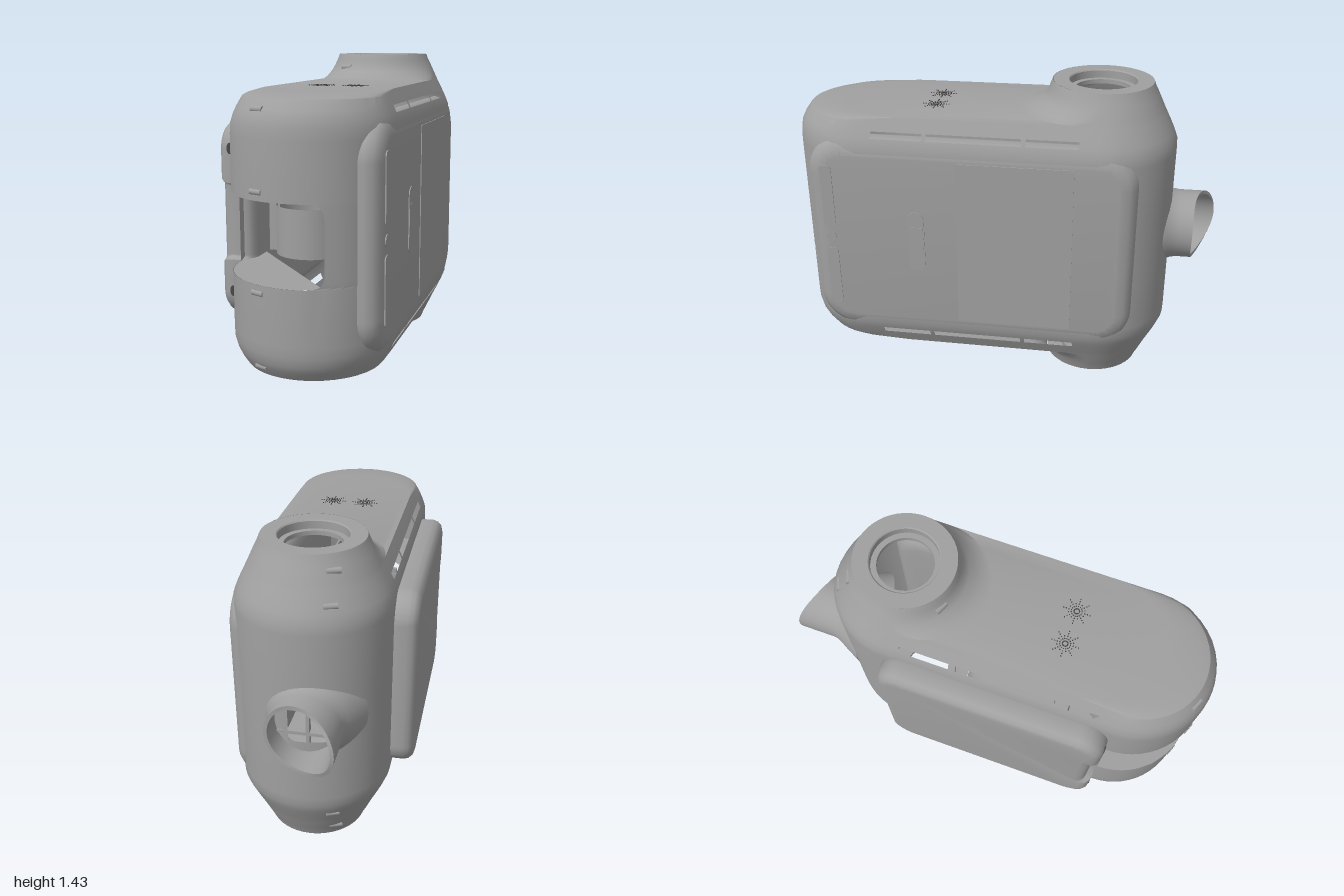
import * as THREE from 'three';
import { mergeGeometries, toCreasedNormals } from 'three/addons/utils/BufferGeometryUtils.js';

const CX = 0.05, ZB = -0.43, MID = 0.715;
const grey = new THREE.MeshStandardMaterial({ color: 0xa0a0a0, side: THREE.DoubleSide });
grey.name = 'casing grey';
const dark = new THREE.MeshStandardMaterial({ color: 0x484848, side: THREE.DoubleSide });
dark.name = 'hole grey';

function add(group, name, geo, mat = grey) {
  const m = new THREE.Mesh(geo, mat);
  m.name = name;
  group.add(m);
  return m;
}

// Loops of points joined into a skin; skip(i, j) leaves an opening
function loft(rings, skip = () => false) {
  const n = rings[0].length, pos = [];
  for (let i = 0; i < rings.length - 1; i++) {
    for (let j = 0; j < n; j++) {
      if (skip(i, j)) continue;
      const k = (j + 1) % n;
      const a = rings[i][j], b = rings[i][k], c = rings[i + 1][k], d = rings[i + 1][j];
      pos.push(...a, ...d, ...b, ...b, ...d, ...c);
    }
  }
  const g = new THREE.BufferGeometry();
  g.setAttribute('position', new THREE.Float32BufferAttribute(pos, 3));
  return toCreasedNormals(g, 0.45);
}

function roundRect(x0, x1, y0, y1, r) {
  const s = new THREE.Shape();
  s.absarc(x1 - r, y1 - r, r, 0, Math.PI / 2);
  s.absarc(x0 + r, y1 - r, r, Math.PI / 2, Math.PI);
  s.absarc(x0 + r, y0 + r, r, Math.PI, Math.PI * 1.5);
  s.absarc(x1 - r, y0 + r, r, Math.PI * 1.5, Math.PI * 2);
  s.closePath();
  return s;
}

// Half profile: distance from mid height, half width, front end
const HALF = [
  [0.1, 0.35, 1], [0.12, 0.35, 1], [0.145, 0.35, 1], [0.16, 0.35, 1], [0.17, 0.35, 1], [0.41, 0.35, 1],
  [0.455, 0.348, 0.998], [0.495, 0.332, 0.99], [0.525, 0.318, 0.975], [0.565, 0.298, 0.945],
  [0.575, 0.293, 0.9], [0.585, 0.288, 0.75], [0.587, 0.287, -0.05], [0.6, 0.281, -0.1],
  [0.63, 0.267, -0.155], [0.66, 0.253, -0.18], [0.685, 0.24, -0.188], [0.715, 0.228, -0.2]];
const SLOTS = [0.57, 0.34, 0.32, -0.1, -0.12, -0.35];

// One stadium-shaped outline of the casing; the window edge follows its rounded corners
function outline([d, r, front]) {
  const pts = [], y = MID + d, fc = front - r;
  const e = Math.min(0.05, Math.max(0, Math.abs(d) - 0.12));
  const corner = Math.sqrt(Math.max(0, 0.0025 - e * e));
  const aw = Math.acos((0.1 + corner) / 0.35);
  const put = (a, z) => pts.push([CX + r * Math.cos(a), y, z + r * Math.sin(a)]);
  const side = (s, z) => pts.push([CX + s * r, y, ZB + (fc - ZB) * (z - ZB) / 1.08]);
  for (let i = 0; i < 8; i++) put(aw * i / 8, fc);
  for (let i = 0; i <= 16; i++) put(aw + (Math.PI - aw) * i / 16, fc);
  SLOTS.forEach(z => side(-1, z));
  for (let i = 0; i <= 24; i++) put(Math.PI * (1 + i / 24), ZB);
  [...SLOTS].reverse().forEach(z => side(1, z));
  return pts;
}

function casing() {
  const rows = [...HALF.map(([d, r, f]) => [-d, r, f]).reverse(), ...HALF];
  const slotCols = [25, 27, 29, 56, 58, 60];
  return loft(rows.map(outline), (i, j) => {
    const d = Math.abs(rows[i][0] + rows[i + 1][0]) / 2;
    const window = d < 0.17 && j >= 8 && j < 24;
    const pipeHole = d < 0.1 && j >= 40 && j < 44;
    const vent = d > 0.495 && d < 0.525 && slotCols.includes(j);
    return window || pipeHole || vent;
  });
}

// Flared rear pipe with a slanting, curved mouth
function pipe() {
  const px = 0.01, mouth = x => -0.88 - 0.12 * ((0.17 - x) / 0.32) ** 2;
  const rows = [[0.24, -0.65], [0.205, -0.72], [0.18, -0.765], [0.168, -0.79], [0.163, -0.82],
    [0.163, null], [0.147, null], [0.147, -0.74]];
  return loft(rows.map(([r, z]) => Array.from({ length: 40 }, (_, i) => {
    const a = i / 40 * Math.PI * 2, x = px + r * Math.cos(a);
    return [x, MID + r * Math.sin(a), z === null ? mouth(px + 0.16 * Math.cos(a)) : z];
  })));
}

export function createModel() {
  const g = new THREE.Group();
  g.name = 'device housing';
  add(g, 'casing', casing());
  add(g, 'rear pipe', pipe());

  // Open rims at both ends of the column
  for (const s of [1, -1]) {
    const prof = [[0.228, 0.715], [0.158, 0.715], [0.153, 0.71], [0.153, 0.675], [0.127, 0.675], [0.127, 0.655]];
    const rim = toCreasedNormals(new THREE.LatheGeometry(
      prof.map(([r, y]) => new THREE.Vector2(r, s * y)), 48), 0.5);
    add(g, s > 0 ? 'top rim' : 'bottom rim', rim).position.set(CX, MID, ZB);
  }

  // Bars inside the pipe
  for (const y of [-0.06, 0.06])
    add(g, 'pipe bar', new THREE.BoxGeometry(0.27, 0.015, 0.03)).position.set(0.01, MID + y, -0.76);
  add(g, 'pipe post', new THREE.BoxGeometry(0.015, 0.28, 0.03)).position.set(0.01, MID, -0.76);

  // Pocket behind the front window
  const plan = new THREE.Shape();
  plan.moveTo(0.2, 0.42);
  plan.absarc(CX, 0.65, 0.348, Math.acos(0.15 / 0.35), Math.PI);
  plan.lineTo(-0.298, 0.42);
  plan.closePath();
  for (const y of [-0.17, 0.17])
    add(g, y < 0 ? 'pocket floor' : 'pocket ceiling', new THREE.ShapeGeometry(plan, 24).rotateX(Math.PI / 2))
      .position.y = MID + y;
  add(g, 'pocket back', new THREE.BoxGeometry(0.5, 0.34, 0.01)).position.set(-0.049, MID, 0.42);
  add(g, 'pocket side', new THREE.BoxGeometry(0.01, 0.34, 0.53)).position.set(0.205, MID, 0.69);
  add(g, 'pocket ring', new THREE.CylinderGeometry(0.15, 0.15, 0.21, 40, 1, true)).position.set(0.03, MID, 0.64);
  add(g, 'ring bracket', new THREE.BoxGeometry(0.05, 0.21, 0.02)).position.set(-0.135, MID, 0.64);

  // Side panel on the left
  const face = roundRect(-0.82, 0.55, 0.29, 1.14, 0.11);
  const panel = new THREE.ExtrudeGeometry(face, {
    depth: 0.01, bevelThickness: 0.07, bevelSize: 0.08, bevelOffset: -0.01, bevelSegments: 3, curveSegments: 10 });
  add(g, 'side panel', toCreasedNormals(panel.rotateY(Math.PI / 2), 0.6)).position.x = 0.322;

  // Thin plates on the side panel
  const plate = (name, z0, z1, y0, y1, r, x = 0.401) => {
    const geo = new THREE.ExtrudeGeometry(roundRect(-z1, -z0, y0, y1, r),
      { depth: 0.005, bevelEnabled: false, curveSegments: 8 });
    add(g, name, geo.rotateY(Math.PI / 2)).position.x = x;
  };
  plate('display', -0.335, 0.195, 0.31, 1.12, 0.005);
  plate('slot window', 0.345, 0.425, 0.57, 0.87, 0.039);
  plate('slot latch', 0.35, 0.42, 0.645, 0.795, 0.003, 0.403);
  plate('lower light strip', 0.765, 0.82, 0.36, 0.66, 0.02);
  plate('upper light strip', 0.765, 0.82, 0.78, 1.08, 0.02);
  plate('button', 0.768, 0.818, 0.695, 0.745, 0.024);

  // Padded cover on the right, with a grip notch in its front edge
  const z0 = -0.39, z1 = 0.59, y0 = 0.32, y1 = 1.11, r = 0.08;
  const cover = new THREE.Shape();
  cover.moveTo(z1, 0.51);
  cover.quadraticCurveTo(z1 - 0.03, 0.52, z1 - 0.03, 0.56);
  cover.lineTo(z1 - 0.03, 0.87);
  cover.quadraticCurveTo(z1 - 0.03, 0.91, z1, 0.92);
  cover.absarc(z1 - r, y1 - r, r, 0, Math.PI / 2);
  cover.absarc(z0 + r, y1 - r, r, Math.PI / 2, Math.PI);
  cover.absarc(z0 + r, y0 + r, r, Math.PI, Math.PI * 1.5);
  cover.absarc(z1 - r, y0 + r, r, Math.PI * 1.5, Math.PI * 2);
  cover.closePath();
  const pad = new THREE.ExtrudeGeometry(cover, {
    depth: 0.05, bevelThickness: 0.05, bevelSize: 0.05, bevelSegments: 3, curveSegments: 10 });
  add(g, 'side cover', toCreasedNormals(pad.rotateY(-Math.PI / 2), 0.6)).position.x = -0.305;
  for (const y of [0.4, 1.04]) {
    const hole = add(g, 'cover screw hole', new THREE.CylinderGeometry(0.025, 0.025, 0.006, 20), dark);
    hole.rotation.x = Math.PI / 2;
    hole.scale.x = 0.6;
    hole.position.set(-0.345, y, 0.638);
  }

  // Starburst speaker holes on the top and bottom
  const dots = [];
  for (const s of [1, -1]) for (const x of [-0.03, 0.13])
    for (let i = 0; i < 16; i++) for (let k = 1; k <= (i % 2 ? 3 : 5); k++) {
      const a = i / 16 * Math.PI * 2, q = 0.012 * k;
      dots.push(new THREE.CylinderGeometry(0.003, 0.003, 0.004, 6)
        .translate(x + q * Math.cos(a), MID + s * 0.587, 0.33 + q * Math.sin(a)));
    }
  add(g, 'speaker holes', mergeGeometries(dots), dark);

  // Screw bosses along the seam, front and back
  const screws = [[0.205, 0.35, 0.65], [0.525, 0.318, 0.657], [0.65, 0.258, ZB]];
  for (const s of [1, -1]) for (const [d, rad, zc] of screws) for (const f of [1, -1]) {
    if (f < 0 && d < 0.3) continue;
    const z = (f > 0 ? zc : ZB) + f * Math.sqrt(rad * rad - 0.0169);
    const boss = add(g, 'screw boss', new THREE.CylinderGeometry(0.014, 0.014, 0.06, 16));
    boss.rotation.set(0, f * -0.38, Math.PI / 2);
    boss.position.set(CX - 0.13, MID + s * d, z - f * 0.01);
  }
  return g;
}
